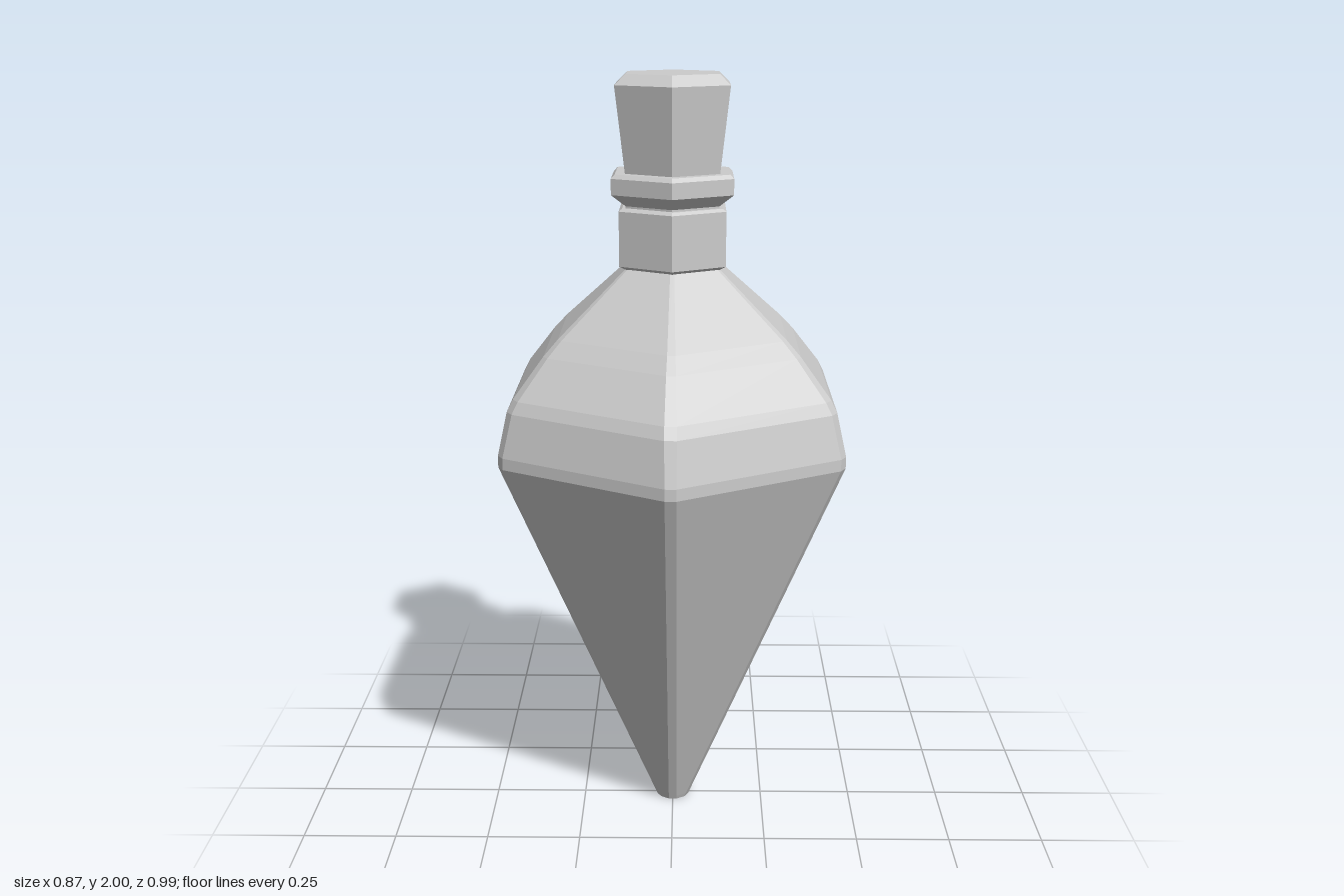
import * as THREE from 'three';

const grey = new THREE.MeshStandardMaterial({ color: 0xcccccc, flatShading: true });

// Hexagonal ring with chamfered corners: a = half width across flats, h = half width of the chamfer
function chamferedRing(y, a, h) {
  const r = a / Math.cos(Math.PI / 6) - h / Math.sqrt(3);
  const ring = [];
  for (let k = 0; k < 6; k++) {
    const t = (k * Math.PI) / 3, s = Math.sin(t), c = Math.cos(t);
    for (const side of [-h, h]) ring.push([s * r + c * side, y, c * r - s * side]);
  }
  return ring;
}

// Skin a stack of rings (bottom to top) and cap both ends
function loft(rings) {
  const n = rings[0].length, pos = rings.flat(2), index = [];
  for (let j = 0; j < rings.length - 1; j++) {
    for (let i = 0; i < n; i++) {
      const a = j * n + i, b = j * n + ((i + 1) % n);
      index.push(a, b, b + n, a, b + n, a + n);
    }
  }
  const top = (rings.length - 1) * n;
  for (let i = 1; i < n - 1; i++) {
    index.push(0, i + 1, i);
    index.push(top, top + i, top + i + 1);
  }
  const g = new THREE.BufferGeometry();
  g.setAttribute('position', new THREE.Float32BufferAttribute(pos, 3));
  g.setIndex(index);
  const flat = g.toNonIndexed();
  flat.computeVertexNormals();
  return flat;
}

// Sharp six-sided turned part from [corner radius, y] points, bottom to top
function hexTurned(profile) {
  return new THREE.LatheGeometry(profile.map(([r, y]) => new THREE.Vector2(r, y)), 6);
}

export function createModel() {
  const group = new THREE.Group();
  const add = (name, geometry) => {
    const mesh = new THREE.Mesh(geometry, grey);
    mesh.name = name;
    group.add(mesh);
  };

  // Faceted bottle body: [y, half width across flats, chamfer]
  add('body', loft([
    [0, 0.043, 0.01],
    [0.012, 0.048, 0.011],
    [1.05, 0.436, 0.014],
    [1.08, 0.436, 0.014],
    [1.19, 0.412, 0.015],
    [1.22, 0.397, 0.015],
    [1.32, 0.322, 0.012],
    [1.36, 0.286, 0.01],
    [1.53, 0.11, 0.005],
  ].map((p) => chamferedRing(...p))));

  // Neck band
  add('neck', hexTurned([
    [0, 1.515], [0.135, 1.52], [0.155, 1.53], [0.155, 1.668], [0.145, 1.675], [0, 1.675],
  ]));

  // Flared lip
  add('lip', hexTurned([
    [0, 1.67], [0.135, 1.67], [0.135, 1.68], [0.176, 1.71], [0.176, 1.75], [0.165, 1.76], [0, 1.76],
  ]));

  // Tapered stopper with bevelled top
  add('stopper', hexTurned([
    [0, 1.75], [0.135, 1.75], [0.164, 1.974], [0.133, 2], [0, 2],
  ]));

  return group;
}
